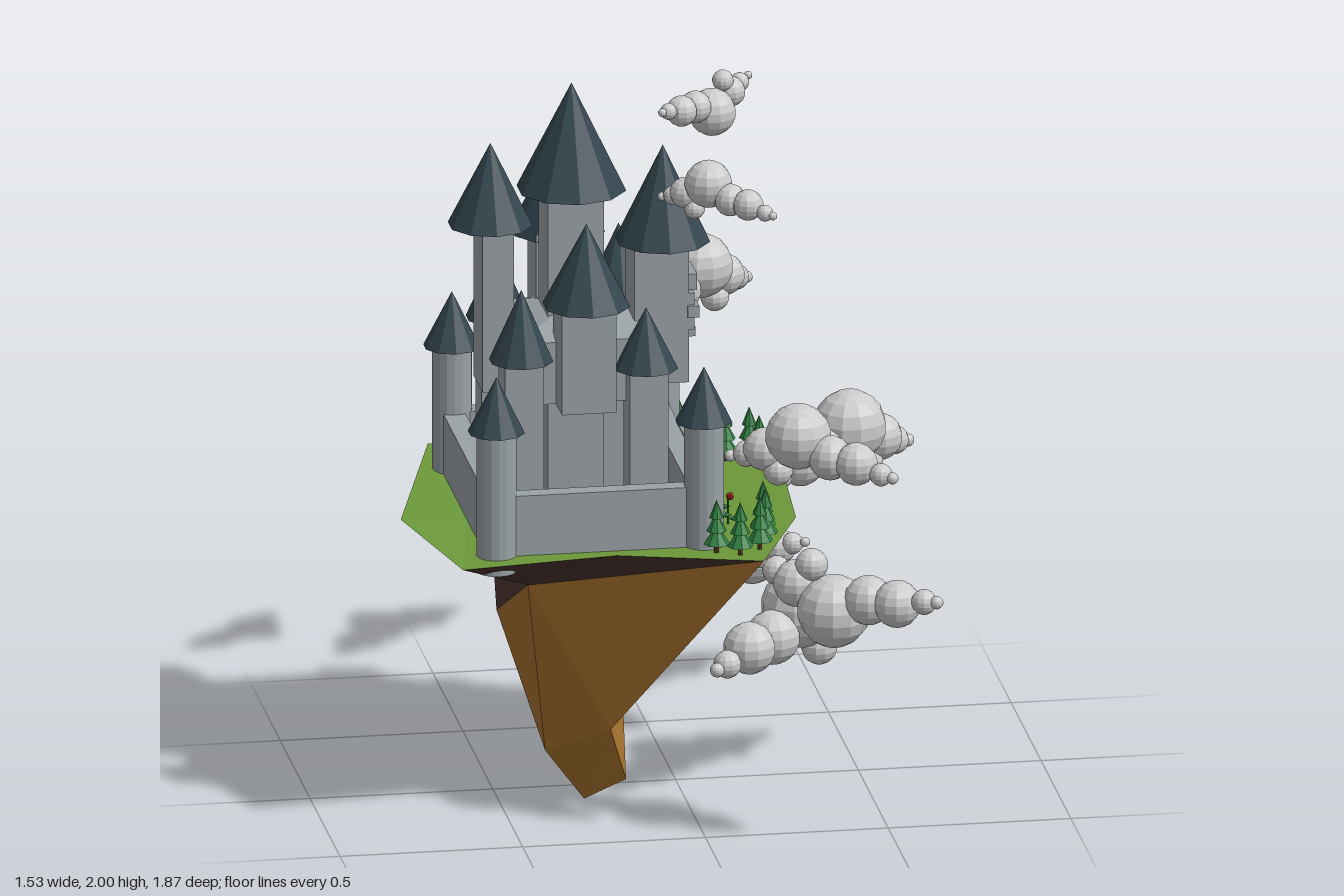
import * as THREE from 'three';

const mat = (color, side = THREE.FrontSide) =>
  new THREE.MeshStandardMaterial({ color, flatShading: true, side });

export function createModel() {
  const root = new THREE.Group();
  const stone = mat(0x9aa2a6), slate = mat(0x34464f), cloudMat = mat(0xcccccc);
  const grass = mat(0x6b983a, THREE.DoubleSide), dirt = mat(0x4a332d, THREE.DoubleSide);
  const rock = mat(0xa8722f, THREE.DoubleSide);
  const wood = mat(0xb8935f), leaf = mat(0x2f8040), bark = mat(0x5b3a1e), red = mat(0xb02020);

  const group = (name, parent = root) => {
    const g = new THREE.Group();
    g.name = name;
    parent.add(g);
    return g;
  };
  const add = (parent, name, geo, material, x = 0, y = 0, z = 0) => {
    const m = new THREE.Mesh(geo, material);
    m.name = name;
    m.position.set(x, y, z);
    parent.add(m);
    return m;
  };
  // Box given by its limits on each axis
  const box = (parent, name, x0, x1, y0, y1, z0, z1, material = stone) =>
    add(parent, name, new THREE.BoxGeometry(x1 - x0, y1 - y0, z1 - z0), material,
      (x0 + x1) / 2, (y0 + y1) / 2, (z0 + z1) / 2);
  const cone = (parent, name, x, z, y0, y1, r, sides, material) =>
    add(parent, name, new THREE.ConeGeometry(r, y1 - y0, sides), material, x, (y0 + y1) / 2, z);

  // Floating island: named corner points joined into faceted shells
  const P = {
    a: [-0.58, 0.79, -0.6], b: [-0.28, 0.79, -0.62], c: [0.34, 0.79, -0.365], d: [0.3, 0.79, 0.18],
    A: [0.155, 0.79, 0.535], f: [-0.23, 0.79, 0.425], g: [-0.66, 0.79, 0.48], h: [-0.77, 0.818, 0.11],
    n: [-0.58, 0.79, 0.07],
    B: [-0.44, 0.65, 0.22], E: [-0.11, 0.42, 0.1], I: [-0.14, 0.37, -0.04], L: [-0.46, 0.53, -0.22],
    M: [0.2, 0.6, -0.2], Q: [-0.49, 0.51, 0],
    F: [-0.22, 0.24, 0.26], G: [-0.38, 0.15, 0.14], H: [-0.17, 0.08, 0.21], J: [-0.13, 0.27, -0.1],
    K: [-0.2, 0.165, -0.04], T: [-0.27, 0, 0.12],
  };
  // Each three letters make a face, turned to point away from the centre
  const shell = (name, faces, centre, material) => {
    const pos = [];
    for (const face of faces.split(' ')) {
      const [p, q, r] = [...face].map((k) => new THREE.Vector3(...P[k]));
      const normal = q.clone().sub(p).cross(r.clone().sub(p));
      const out = p.clone().add(q).add(r).divideScalar(3).sub(centre);
      for (const v of normal.dot(out) > 0 ? [p, q, r] : [p, r, q]) pos.push(v.x, v.y, v.z);
    }
    const geo = new THREE.BufferGeometry();
    geo.setAttribute('position', new THREE.Float32BufferAttribute(pos, 3));
    geo.computeVertexNormals();
    add(island, name, geo, material);
  };
  const island = group('island');
  shell('grassTop', 'nab nbc ncd ndA nAf nfg ngh nha', new THREE.Vector3(-0.2, 0.6, 0), grass);
  shell('dirtUnderside', 'AdE dME dcM cbM bIM MIE baL bLI LQI ahB aBL hgB gfB fAB LBQ',
    new THREE.Vector3(-0.2, 0.72, 0), dirt);
  shell('rockTip', 'AFB BFG BGQ AEF EIF IJF JHF FHT FTG JHK KHT KGT JGK IQG IGJ',
    new THREE.Vector3(-0.25, 0.32, 0.1), rock);

  // Curtain wall with round corner towers
  const castle = group('castle');
  const wallTop = 0.96, ground = 0.78;
  box(castle, 'frontWall', -0.55, 0.01, ground, wallTop, 0.335, 0.385);
  box(castle, 'backWall', -0.55, 0.01, ground, wallTop, -0.405, -0.35);
  box(castle, 'leftWall', -0.58, -0.52, ground, wallTop, -0.38, 0.36);
  box(castle, 'rightWall', -0.025, 0.035, ground, wallTop, -0.38, 0.36);
  for (const x of [-0.55, 0.018]) for (const z of [-0.38, 0.365]) {
    add(castle, 'cornerTower', new THREE.CylinderGeometry(0.055, 0.055, 0.4, 16), stone, x, 0.945, z);
    cone(castle, 'cornerRoof', x, z, 1.14, 1.295, 0.078, 10, slate);
  }

  // Keep: ground-standing centre tower, raised hall, four overhanging towers
  const cx = -0.285;
  box(castle, 'centreTower', cx - 0.077, cx + 0.077, ground, 1.72, -0.077, 0.077);
  cone(castle, 'centreRoof', cx, 0, 1.7, 2, 0.15, 10, slate);
  box(castle, 'hall', -0.46, -0.1, 1.155, 1.33, -0.19, 0.2);
  const hallRoof = add(castle, 'hallRoof', new THREE.ConeGeometry(0.255, 0.06, 4).rotateY(Math.PI / 4),
    stone, -0.28, 1.36, 0.005);
  hallRoof.scale.z = 1.08;
  // body x, z, half width, roof x, z, eaves, apex, roof radius
  for (const [x, z, half, rx, rz, eaves, apex, r] of [
    [-0.497, 0, 0.043, -0.507, 0, 1.61, 1.84, 0.116],
    [-0.05, 0, 0.075, -0.035, 0, 1.54, 1.81, 0.13],
    [cx, 0.225, 0.075, cx, 0.25, 1.45, 1.68, 0.12],
    [cx, -0.205, 0.075, cx, -0.235, 1.505, 1.765, 0.13],
  ]) {
    box(castle, 'overhangTower', x - half, x + half, 1.155, eaves + 0.02, z - 0.075, z + 0.075);
    cone(castle, 'overhangRoof', rx, rz, eaves, apex, r, 10, slate);
  }
  for (const [x, z, eaves, apex] of [
    [-0.455, 0.2, 1.285, 1.485], [-0.115, 0.21, 1.25, 1.42],
    [-0.455, -0.19, 1.28, 1.475], [-0.125, -0.19, 1.34, 1.53],
  ]) {
    box(castle, 'smallTower', x - 0.053, x + 0.053, ground, eaves + 0.02, z - 0.053, z + 0.053);
    cone(castle, 'smallRoof', x, z, eaves, apex, 0.088, 10, slate);
  }

  // Stone window frame on the right tower
  const win = group('window', castle);
  box(win, 'pane', 0.02, 0.03, 1.3, 1.415, -0.04, 0.04, slate);
  box(win, 'sill', 0.02, 0.045, 1.28, 1.305, -0.06, 0.06);
  box(win, 'lintel', 0.02, 0.05, 1.41, 1.455, -0.055, 0.055);
  for (const s of [-1, 1]) for (let i = 0; i < 3; i++) {
    const w = i % 2 ? 0.012 : 0, z = s * 0.058;
    box(win, 'jambStone', 0.02, 0.04 + w, 1.305 + i * 0.035, 1.338 + i * 0.035, z - 0.018 - w / 2, z + 0.018 + w / 2);
  }

  // Gate of stacked stones with a wooden door
  const gate = group('gate', castle);
  box(gate, 'door', 0.03, 0.05, 0.79, 0.92, -0.09, 0.09, wood);
  box(gate, 'lintel', 0.03, 0.075, 0.92, 0.965, -0.178, 0.178);
  for (const s of [-1, 1]) for (let i = 0; i < 4; i++) {
    const inner = 0.085, outer = i % 2 ? 0.165 : 0.178, y = 0.785 + i * 0.034;
    box(gate, 'jambStone', 0.03, i % 2 ? 0.065 : 0.075, y, y + 0.032,
      Math.min(s * inner, s * outer), Math.max(s * inner, s * outer));
  }

  // Pine trees
  for (const [x, z] of [[0.255, -0.33], [0.19, -0.33], [0.27, -0.255], [0.125, -0.395], [0.08, -0.455],
    [0.19, 0.3], [0.185, 0.365], [0.04, 0.44], [0.1, 0.47], [0.16, 0.43]]) {
    const tree = group('tree');
    add(tree, 'trunk', new THREE.CylinderGeometry(0.007, 0.007, 0.05, 6), bark, x, 0.805, z);
    for (let i = 0; i < 3; i++)
      cone(tree, 'foliage', x, z, 0.815 + i * 0.037, 0.87 + i * 0.035, 0.036 - i * 0.008, 8, leaf);
  }

  // Single-stemmed flowers beside the gate
  for (const z of [-0.205, 0.205]) {
    const flower = group('flower');
    add(flower, 'stem', new THREE.CylinderGeometry(0.003, 0.003, 0.08, 5), leaf, 0.11, 0.825, z);
    add(flower, 'bloom', new THREE.IcosahedronGeometry(0.012), red, 0.115, 0.868, z);
    for (let i = 0; i < 3; i++) {
      const t = i * 2.1;
      add(flower, 'leaf', new THREE.OctahedronGeometry(0.018).scale(1, 0.4, 0.7), leaf,
        0.11 + 0.016 * Math.cos(t), 0.805 + i * 0.015, z + 0.016 * Math.sin(t));
    }
  }

  // Clouds: a chain of puffs [along, up, radius], reused turned, scaled and upside down
  const puffs = [[-0.325, -0.08, 0.018], [-0.285, -0.075, 0.035], [-0.2, -0.055, 0.065],
    [-0.11, -0.05, 0.068], [0, 0, 0.1], [0.07, -0.12, 0.045], [0.117, -0.06, 0.065],
    [0.18, -0.085, 0.04], [0.235, -0.1, 0.018]];
  // centre x, y, z, direction x, z, size, upright (1) or flipped (-1)
  for (const [x, y, z, dx, dz, size, flip] of [
    [0.56, 0.81, -0.51, 0.78, -0.63, 1, 1], [0.34, 0.48, 0.02, 0.75, -0.66, 1.1, 1],
    [0.22, 1.2, 0.71, -0.78, -0.63, 0.9, 1], [0.33, 0.67, 0.63, -0.76, -0.65, 1, -1],
    [0.2, 1.19, -0.8, 0.72, -0.69, 0.88, 1], [0.035, 1.805, 0.335, -0.72, -0.69, 0.65, 1],
    [0.18, 1.73, -0.49, 0.75, -0.66, 0.65, -1], [0.25, 0.54, -0.25, 0.71, 0.71, 0.75, -1],
  ]) {
    const cloud = group('cloud');
    cloud.position.set(x, y, z);
    cloud.rotation.y = Math.atan2(-dz, dx);
    cloud.scale.setScalar(size);
    for (const [along, up, r] of puffs)
      add(cloud, 'puff', new THREE.SphereGeometry(r, 12, 9), cloudMat, along, up * flip, 0);
  }
  return root;
}
